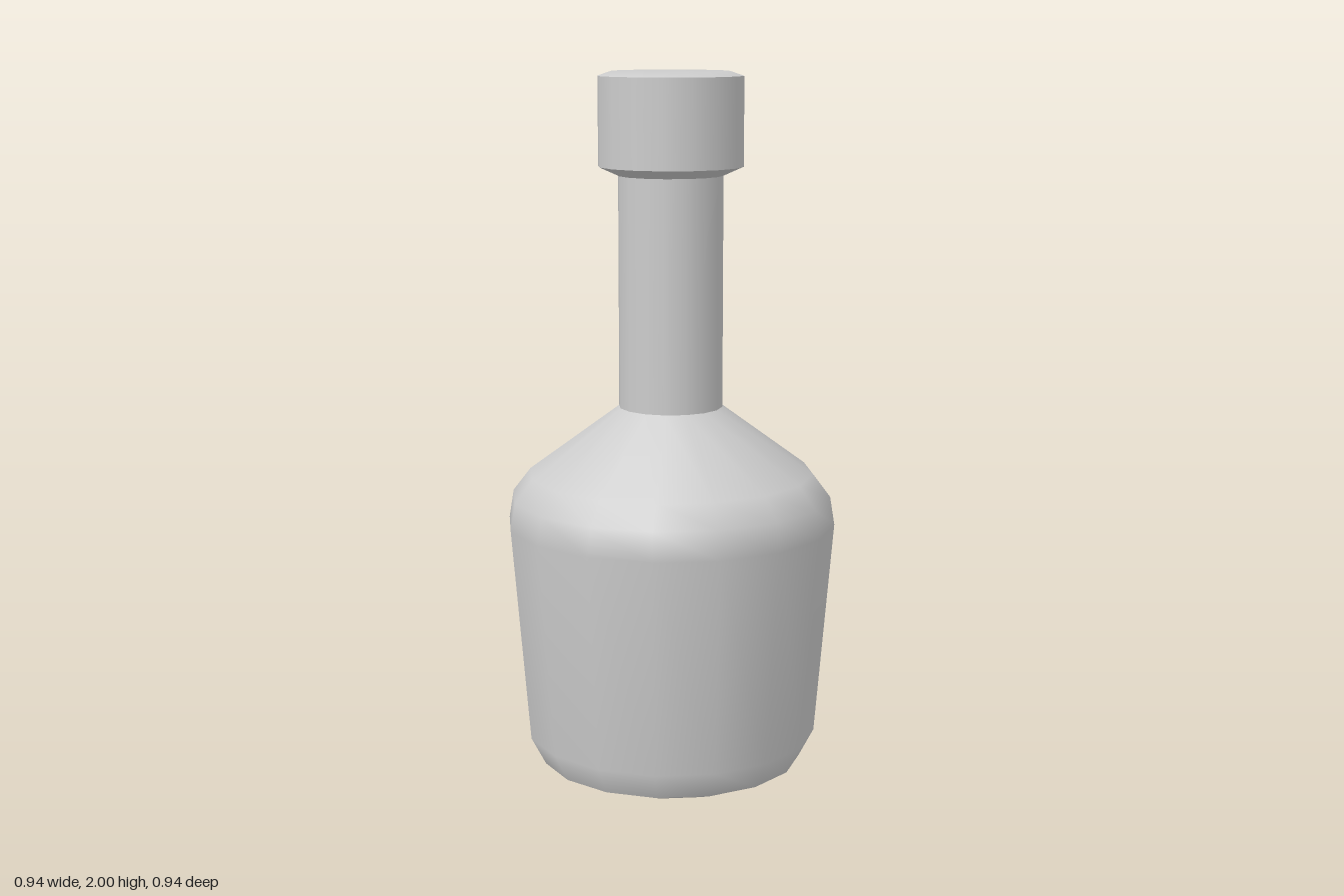
import * as THREE from 'three';

const SIDES = 16;

export function createModel() {
  const group = new THREE.Group();
  group.name = 'bottle';
  const material = new THREE.MeshStandardMaterial({ color: 0xcccccc });

  // Each section is smooth inside; hard edges lie where sections meet.
  const addSection = (name, profile) => {
    const points = profile.map(([r, y]) => new THREE.Vector2(r, y));
    const mesh = new THREE.Mesh(new THREE.LatheGeometry(points, SIDES), material);
    mesh.name = name;
    group.add(mesh);
  };

  // Flat underside with a shallow chamfer
  addSection('base', [[0, 0], [0.29, 0], [0.375, 0.035]]);

  // Tapered body with rounded heel and sloping shoulder
  addSection('body', [
    [0.375, 0.035], [0.417, 0.115], [0.468, 0.73],
    [0.455, 0.81], [0.405, 0.875], [0.147, 1.065],
  ]);

  // Straight neck
  addSection('neck', [[0.147, 1.065], [0.147, 1.715]]);

  // Stopper: flared underside, straight wall, slightly domed top
  addSection('stopperUnderside', [[0.147, 1.715], [0.203, 1.74]]);
  addSection('stopperWall', [[0.203, 1.74], [0.203, 1.987]]);
  addSection('stopperTop', [[0.203, 1.987], [0.165, 2], [0, 2]]);

  return group;
}
